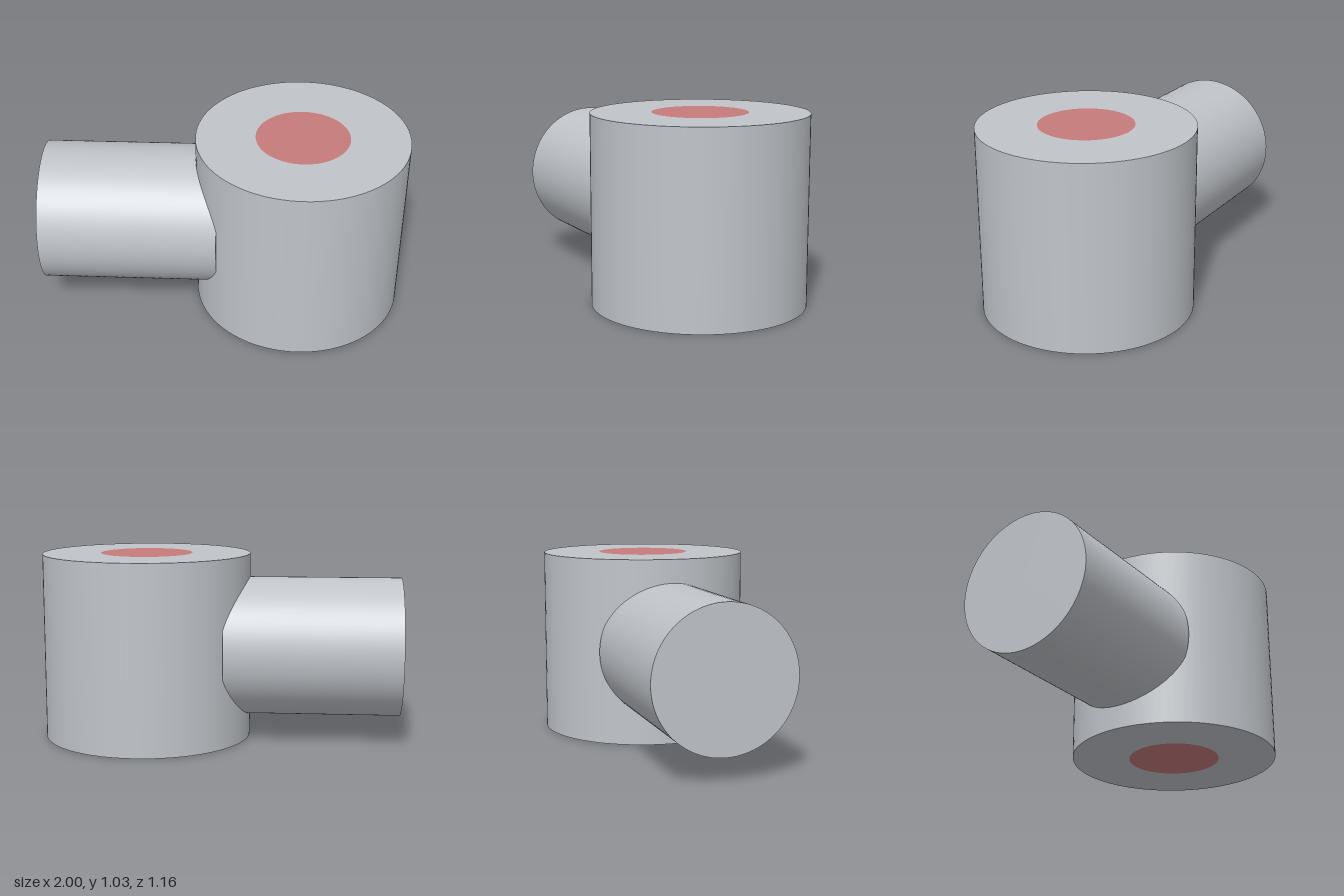
import * as THREE from 'three';

const SEG = 96;
const BODY = { x: 0.42, r: 0.58, h: 1.033 };
const CORE_R = 0.256;
const PIPE = { r: 0.385, x0: -1, x1: -0.035 };

export function createModel() {
  const grey = new THREE.MeshStandardMaterial({ name: 'steel grey', color: 0xc0c4c9 });
  const red = new THREE.MeshStandardMaterial({ name: 'dusty red', color: 0xc67b7b });

  const model = new THREE.Group();
  model.name = 'teeFitting';
  const add = (parent, name, geometry, material) => {
    const mesh = new THREE.Mesh(geometry, material);
    mesh.name = name;
    parent.add(mesh);
    return mesh;
  };

  // Upright drum: open wall closed by a grey ring and a flush red disc at each end
  const drum = new THREE.Group();
  drum.name = 'drum';
  drum.position.set(BODY.x, BODY.h / 2, 0);
  model.add(drum);
  add(drum, 'drumWall', new THREE.CylinderGeometry(BODY.r, BODY.r, BODY.h, SEG, 1, true), grey);
  for (const [end, side] of [['top', 1], ['bottom', -1]]) {
    const parts = [
      add(drum, end + 'Ring', new THREE.RingGeometry(CORE_R, BODY.r, SEG), grey),
      add(drum, end + 'CoreDisc', new THREE.CircleGeometry(CORE_R, SEG), red),
    ];
    for (const part of parts) {
      part.rotation.x = -side * Math.PI / 2;
      part.position.y = side * BODY.h / 2;
    }
  }

  // Horizontal branch running into the drum's right side
  const length = PIPE.x1 - PIPE.x0;
  const pipe = add(model, 'sidePipe', new THREE.CylinderGeometry(PIPE.r, PIPE.r, length, SEG), grey);
  pipe.rotation.z = Math.PI / 2;
  pipe.position.set((PIPE.x0 + PIPE.x1) / 2, BODY.h / 2, 0);

  return model;
}
